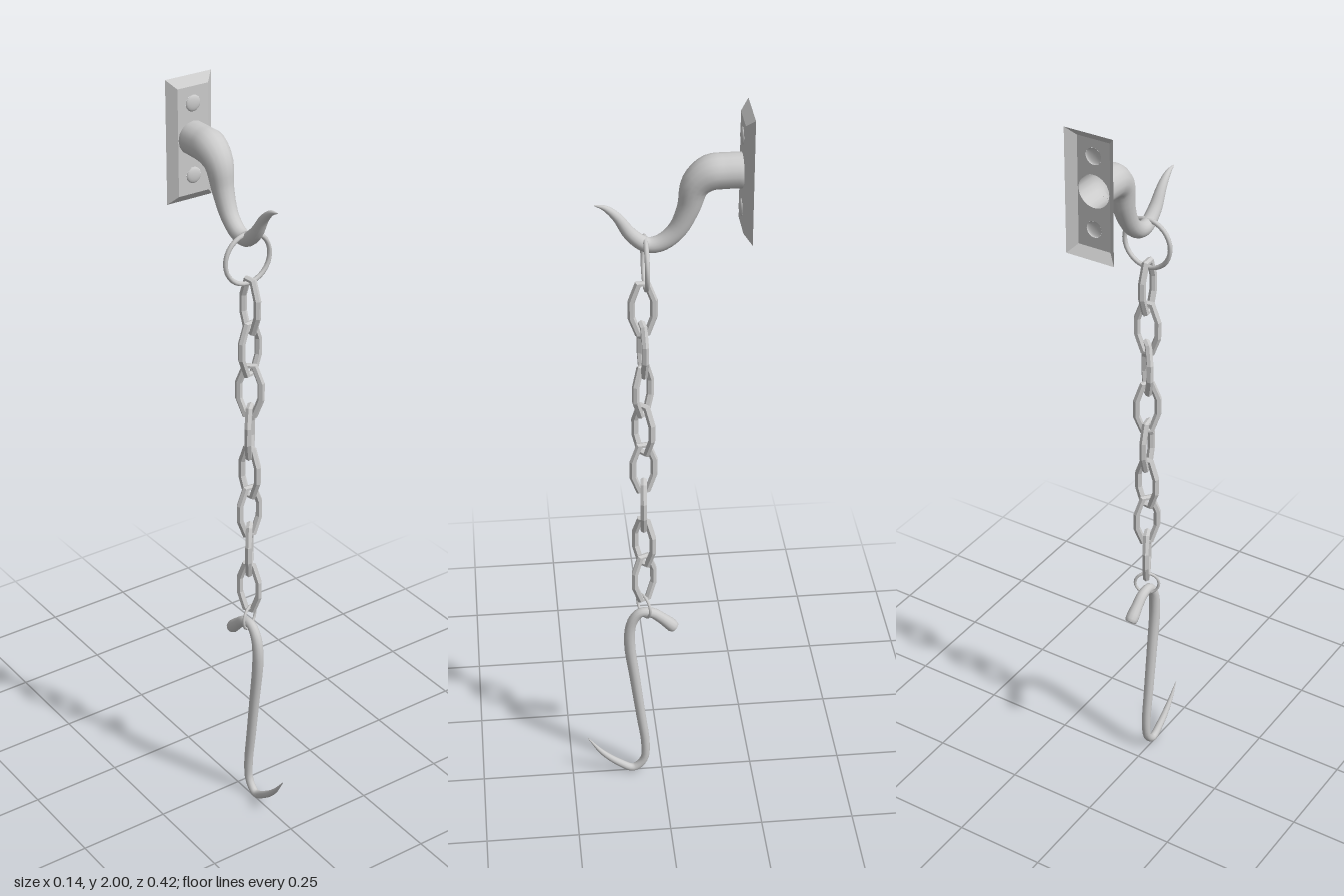
import * as THREE from 'three';

const smooth = new THREE.MeshStandardMaterial({ color: 0xcccccc, side: THREE.DoubleSide });
const faceted = new THREE.MeshStandardMaterial({ color: 0xcccccc, side: THREE.DoubleSide, flatShading: true });

function add(parent, name, geometry, material, x = 0, y = 0, z = 0) {
  const mesh = new THREE.Mesh(geometry, material);
  mesh.name = name;
  mesh.position.set(x, y, z);
  parent.add(mesh);
  return mesh;
}

// Sweeps a round section along sections [z, y, radius] lying in the zy plane
function sweep(sections, sides, closed = false) {
  const n = sections.length, pos = [], index = [];
  for (let i = 0; i < n; i++) {
    const prev = sections[closed ? (i + n - 1) % n : Math.max(i - 1, 0)];
    const next = sections[closed ? (i + 1) % n : Math.min(i + 1, n - 1)];
    const [z, y, r] = sections[i];
    const t = new THREE.Vector2(next[0] - prev[0], next[1] - prev[1]).normalize();
    for (let j = 0; j < sides; j++) {
      const a = (j / sides) * Math.PI * 2, c = Math.cos(a) * r;
      pos.push(Math.sin(a) * r, y - t.x * c, z + t.y * c);
    }
  }
  for (let i = 0; i < (closed ? n : n - 1); i++) {
    const k = (i + 1) % n;
    for (let j = 0; j < sides; j++) {
      const m = (j + 1) % sides;
      const a = i * sides + j, b = i * sides + m, c = k * sides + m, d = k * sides + j;
      index.push(a, b, c, a, c, d);
    }
  }
  const g = new THREE.BufferGeometry();
  g.setAttribute('position', new THREE.Float32BufferAttribute(pos, 3));
  g.setIndex(index);
  g.computeVertexNormals();
  return g;
}

// Smooth curve through control sections, radius carried as the third coordinate
function curved(sections, steps = 4) {
  const curve = new THREE.CatmullRomCurve3(sections.map(s => new THREE.Vector3(...s)));
  return curve.getPoints((sections.length - 1) * steps).map(p => [p.x, p.y, Math.max(p.z, 0)]);
}

function createWallPlate() {
  const plate = new THREE.Group();
  plate.name = 'wallPlate';
  const midY = 1.84, tubeY = 1.847, boltYs = [1.935, 1.75];

  // Front face, open behind the hook and the bolts
  const face = new THREE.Shape();
  face.moveTo(-0.044, midY - 0.138);
  face.lineTo(0.044, midY - 0.138);
  face.lineTo(0.044, midY + 0.138);
  face.lineTo(-0.044, midY + 0.138);
  face.closePath();
  for (const [y, r] of [[tubeY, 0.042], ...boltYs.map(y => [y, 0.021])]) {
    face.holes.push(new THREE.Path().absarc(0, y, r, 0, Math.PI * 2, true));
  }
  add(plate, 'plateFace', new THREE.ShapeGeometry(face, 16), faceted, 0, 0, -0.19);

  // Sloping rim, open at the back
  const rim = new THREE.CylinderGeometry(1, 1, 0.02, 4, 1, true);
  rim.rotateY(Math.PI / 4).rotateX(Math.PI / 2);
  const p = rim.attributes.position;
  for (let i = 0; i < p.count; i++) {
    const front = p.getZ(i) > 0;
    p.setX(i, Math.sign(p.getX(i)) * (front ? 0.044 : 0.066));
    p.setY(i, Math.sign(p.getY(i)) * (front ? 0.138 : 0.16));
  }
  add(plate, 'plateRim', rim, faceted, 0, midY, -0.2);

  // Domed bolt heads
  for (const y of boltYs) {
    const dome = new THREE.SphereGeometry(0.021, 16, 5, 0, Math.PI * 2, 0, Math.PI / 2);
    dome.rotateX(Math.PI / 2).scale(1, 1, 0.3);
    add(plate, 'boltHead', dome, smooth, 0, y, -0.19);
  }
  return plate;
}

export function createModel() {
  const model = new THREE.Group();
  model.name = 'wallHookWithChain';
  model.add(createWallPlate());

  // Thick wall hook tapering to an upturned point
  add(model, 'wallHook', sweep(curved([
    [-0.19, 1.847, 0.043], [-0.15, 1.847, 0.043], [-0.115, 1.844, 0.043], [-0.08, 1.815, 0.036],
    [-0.064, 1.756, 0.028], [-0.037, 1.698, 0.023], [0, 1.666, 0.021], [0.035, 1.661, 0.019],
    [0.074, 1.69, 0.017], [0.106, 1.737, 0.012], [0.135, 1.763, 0.007], [0.16, 1.771, 0.001],
  ]), 16), smooth);

  // Ring hanging in the wall hook
  add(model, 'upperRing', new THREE.TorusGeometry(0.065, 0.006, 8, 32), smooth, 0, 1.612, 0.04);

  // Chain of faceted links, each turned about the vertical
  const link = sweep([
    [0.011, 0.069], [0.028, 0.022], [0.028, -0.022], [0.011, -0.069],
    [-0.011, -0.069], [-0.028, -0.022], [-0.028, 0.022], [-0.011, 0.069],
  ].map(([z, y]) => [z, y, 0.0095]), 6, true);
  const chain = new THREE.Group();
  chain.name = 'chain';
  model.add(chain);
  [3, 98, 45, -45, 10, 85, -40, 25].forEach((turn, i) => {
    const mesh = add(chain, 'chainLink', link, faceted, 0.003, 1.488 - i * 0.1163, 0.047);
    mesh.rotation.y = THREE.MathUtils.degToRad(turn);
  });

  // Small ring joining chain and lower hook
  const ring = add(model, 'lowerRing', new THREE.TorusGeometry(0.032, 0.004, 8, 24), smooth, 0.003, 0.58, 0.048);
  ring.rotation.y = THREE.MathUtils.degToRad(27);

  // Long lower hook: blunt bent end on top, sharp point below
  add(model, 'lowerHook', sweep(curved([
    [-0.035, 0.501, 0], [-0.034, 0.502, 0.015], [0, 0.535, 0.015], [0.027, 0.555, 0.014],
    [0.058, 0.557, 0.013], [0.08, 0.528, 0.014], [0.088, 0.467, 0.015], [0.074, 0.334, 0.014],
    [0.058, 0.2, 0.013], [0.046, 0.095, 0.012], [0.051, 0.04, 0.011], [0.08, 0.012, 0.011],
    [0.122, 0.034, 0.01], [0.168, 0.075, 0.007], [0.206, 0.128, 0.001],
  ]), 12), smooth, 0.003);

  return model;
}
